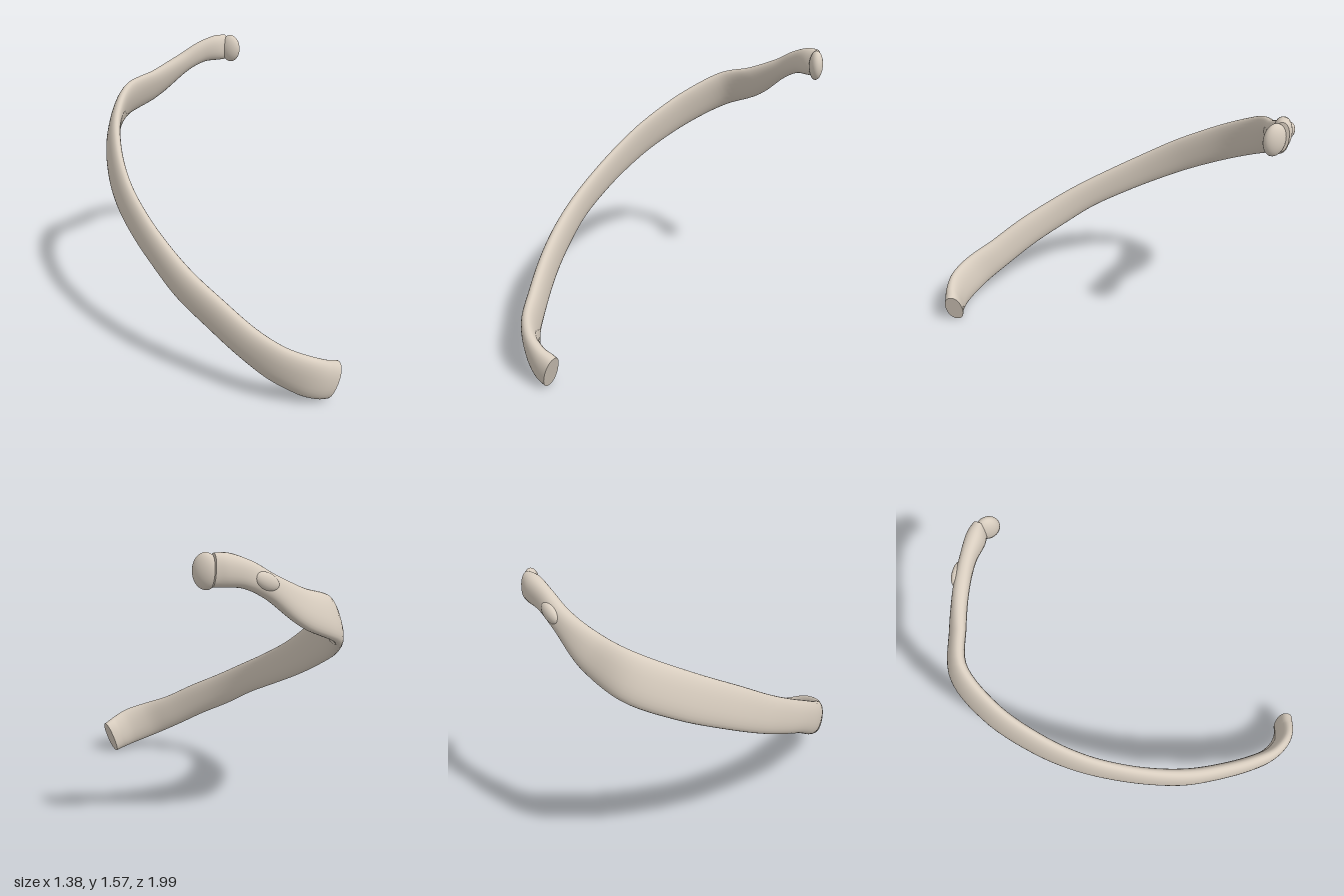
import * as THREE from 'three';

// Stations along the bone: centre x, y, z, half height, half thickness, forward lean of the section
const STATIONS = [
  [-0.33, 0.12, 0.935, 0.108, 0.052, 0.1],
  [-0.4, 0.145, 0.915, 0.114, 0.05, 0.15],
  [-0.475, 0.185, 0.865, 0.12, 0.046, 0.25],
  [-0.55, 0.24, 0.755, 0.115, 0.044, 0.4],
  [-0.595, 0.315, 0.6, 0.105, 0.044, 0.45],
  [-0.63, 0.428, 0.4, 0.102, 0.044, 0.45],
  [-0.645, 0.53, 0.2, 0.1, 0.044, 0.45],
  [-0.63, 0.64, 0, 0.095, 0.04, 0.45],
  [-0.588, 0.74, -0.2, 0.098, 0.037, 0.42],
  [-0.52, 0.845, -0.4, 0.104, 0.036, 0.4],
  [-0.41, 0.965, -0.6, 0.113, 0.036, 0.38],
  [-0.225, 1.105, -0.815, 0.12, 0.038, 0.36],
  [-0.01, 1.222, -0.937, 0.119, 0.042, 0.36],
  [0.2, 1.3, -0.9, 0.099, 0.043, 0.36],
  [0.385, 1.412, -0.835, 0.064, 0.044, 0.25],
  [0.5, 1.478, -0.775, 0.067, 0.043, 0.1],
  [0.59, 1.502, -0.72, 0.08, 0.05, 0],
  [0.645, 1.505, -0.69, 0.078, 0.038, 0],
];
const RINGS = 102, SIDES = 28;

// Lofts flattened sections along the curve; end caps keep their own vertices for a crisp rim
function loftShaft() {
  const path = new THREE.CatmullRomCurve3(STATIONS.map(s => new THREE.Vector3(s[0], s[1], s[2])));
  const size = new THREE.CatmullRomCurve3(STATIONS.map(s => new THREE.Vector3(s[3], s[4], s[5])), false, 'catmullrom', 0.5);
  const pos = [], index = [], up = new THREE.Vector3(), side = new THREE.Vector3();
  for (let i = 0; i <= RINGS; i++) {
    const t = i / RINGS, c = path.getPoint(t), s = size.getPoint(t), dir = path.getTangent(t);
    up.set(0, 1, s.z).addScaledVector(dir, -dir.dot(up)).normalize();
    side.crossVectors(up, dir).normalize();
    for (let j = 0; j < SIDES; j++) {
      const a = j / SIDES * Math.PI * 2, ca = Math.cos(a), sa = Math.sin(a);
      const h = Math.sign(ca) * Math.abs(ca) ** 0.9 * s.x;
      const w = Math.sign(sa) * Math.abs(sa) ** 0.9 * s.y * (sa > 0 ? 1.05 : 0.92);
      const p = c.clone().addScaledVector(up, h).addScaledVector(side, w);
      pos.push(p.x, p.y, p.z);
      if (i < RINGS) {
        const k = i * SIDES, n = (j + 1) % SIDES;
        index.push(k + j, k + SIDES + j, k + n, k + n, k + SIDES + j, k + SIDES + n);
      }
    }
  }
  for (const ring of [0, RINGS]) {
    const first = pos.length / 3, c = path.getPoint(ring / RINGS);
    pos.push(...pos.slice(ring * SIDES * 3, (ring + 1) * SIDES * 3), c.x, c.y, c.z);
    for (let j = 0; j < SIDES; j++) {
      const a = first + j, b = first + (j + 1) % SIDES;
      index.push(first + SIDES, ...(ring ? [b, a] : [a, b]));
    }
  }
  const geo = new THREE.BufferGeometry();
  geo.setAttribute('position', new THREE.Float32BufferAttribute(pos, 3));
  geo.setIndex(index);
  geo.computeVertexNormals();
  return geo;
}

export function createModel() {
  const group = new THREE.Group();
  group.name = 'ribBone';
  const bone = new THREE.MeshStandardMaterial({ color: 0xd8cdbf });

  const add = (name, geo) => {
    const mesh = new THREE.Mesh(geo, bone);
    mesh.name = name;
    group.add(mesh);
    return mesh;
  };

  add('shaft', loftShaft());

  // Rounded joint head at the upper end
  const head = add('head', new THREE.SphereGeometry(1, 28, 18));
  head.scale.set(0.041, 0.086, 0.066);
  head.position.set(0.65, 1.498, -0.653);
  head.rotation.y = 0.25;

  // Small knob on the back of the neck
  const knob = add('tubercle', new THREE.SphereGeometry(1, 20, 14));
  knob.scale.set(0.07, 0.042, 0.03);
  knob.position.set(0.44, 1.445, -0.845);
  knob.rotation.set(0, -0.5, 0.45);

  return group;
}
